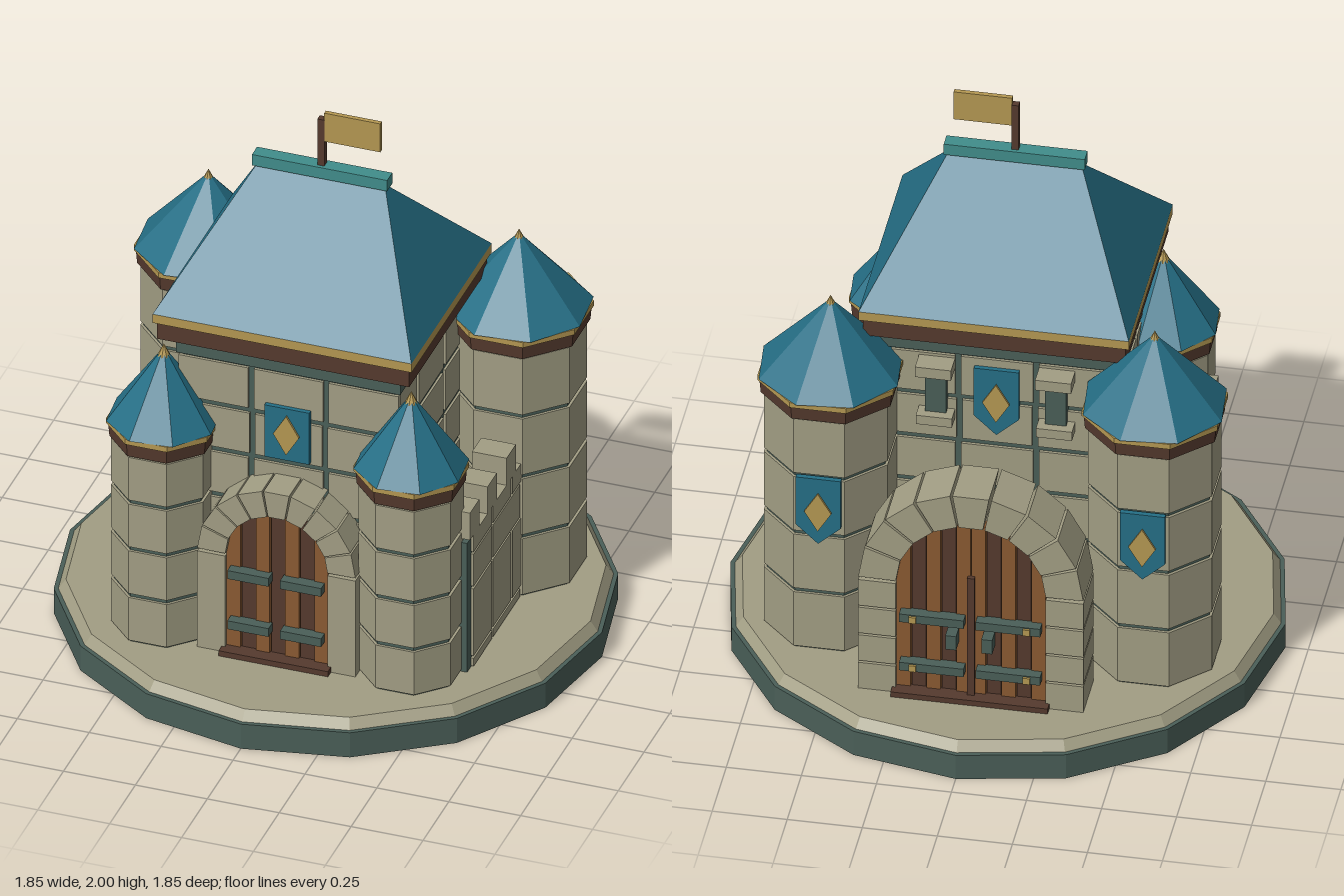
import * as THREE from 'three';

const mat = (name, color) => {
  const m = new THREE.MeshStandardMaterial({ color, flatShading: true });
  m.name = name;
  return m;
};

export function createModel() {
  const stone = mat('stone', 0xa29e84);
  const mortar = mat('mossy mortar', 0x4a5f58);
  const roofBlue = mat('roof blue', 0x256f86);
  const ridgeTeal = mat('ridge teal', 0x418d8b);
  const darkWood = mat('dark wood', 0x553a2e);
  const wood = mat('warm wood', 0x8a5a32);
  const gold = mat('gold', 0xb59852);

  const model = new THREE.Group();
  model.name = 'castle';

  const group = (name, parent = model) => {
    const g = new THREE.Group();
    g.name = name;
    parent.add(g);
    return g;
  };
  const add = (parent, name, geo, material, x = 0, y = 0, z = 0) => {
    const m = new THREE.Mesh(geo, material);
    m.name = name;
    m.position.set(x, y, z);
    parent.add(m);
    return m;
  };
  // box given by its limits on each axis
  const box = (parent, name, material, [x0, x1], [y0, y1], [z0, z1]) =>
    add(parent, name, new THREE.BoxGeometry(x1 - x0, y1 - y0, z1 - z0), material,
      (x0 + x1) / 2, (y0 + y1) / 2, (z0 + z1) / 2);
  // octagonal drum given by half width across flats
  const drum = (parent, name, material, top, bottom, y0, y1, turn = Math.PI / 8) => {
    const k = Math.cos(Math.PI / 8);
    const m = add(parent, name, new THREE.CylinderGeometry(top / k, bottom / k, y1 - y0, 8), material, 0, (y0 + y1) / 2);
    m.rotation.y = turn;
    return m;
  };
  const extrude = (points, depth) => new THREE.ExtrudeGeometry(
    new THREE.Shape(points.map(([x, y]) => new THREE.Vector2(x, y))), { depth, bevelEnabled: false });

  // round base
  const base = group('base');
  const disc = (name, m, rt, rb, y0, y1) => {
    add(base, name, new THREE.CylinderGeometry(rt, rb, y1 - y0, 16), m, 0, (y0 + y1) / 2).rotation.y = Math.PI / 2;
  };
  disc('baseRim', mortar, 0.925, 0.925, 0, 0.095);
  disc('courtyard', stone, 0.885, 0.91, 0.095, 0.13);

  // corner towers
  const tower = (name, x, z, r, y1, roofY, tip, roofR) => {
    const t = group(name);
    t.position.set(x, 0, z);
    drum(t, 'towerCore', mortar, r - 0.009, r - 0.009, 0.13, y1);
    const h = (y1 - 0.13) / 4;
    for (let i = 0; i < 4; i++) drum(t, 'stoneCourse', stone, r, r, 0.138 + i * h, 0.13 + (i + 1) * h - 0.008);
    drum(t, 'eaveBeam', darkWood, roofR - 0.008, roofR - 0.012, y1, roofY - 0.02);
    drum(t, 'eaveTrim', gold, roofR - 0.002, roofR - 0.002, roofY - 0.02, roofY);
    drum(t, 'spire', roofBlue, 0.003, roofR, roofY, tip, Math.PI / 8 + 0.1);
    add(t, 'finial', new THREE.ConeGeometry(0.022, 0.045, 8), gold, 0, tip - 0.005);
  };
  for (const s of [-1, 1]) {
    tower('backTower', s * 0.54, -0.27, 0.206, 1.06, 1.13, 1.4, 0.228);
    tower('frontTower', s * 0.43, 0.47, 0.16, 0.855, 0.925, 1.19, 0.177);
  }

  // keep with staggered block courses on all four sides
  const keep = group('keep');
  keep.position.z = 0.135;
  box(keep, 'keepCore', mortar, [-0.372, 0.372], [0.13, 1.2], [-0.317, 0.317]);
  const course = (i) => {
    const y = [0.13 + i * 0.175 + 0.01, 0.13 + (i + 1) * 0.175 - 0.01];
    const layout = (half) => (i % 2 ? [-half, -0.13, 0.13, half] : [-half, -0.13, 0.13, half].map((v, k) => (k % 3 ? v * 0.97 : v)));
    for (const s of [-1, 1]) {
      const xs = layout(0.382), zs = layout(0.327);
      for (let k = 0; k < 3; k++) {
        box(keep, 'wallBlock', stone, [xs[k] + (k ? 0.01 : 0), xs[k + 1] - (k < 2 ? 0.01 : 0)], y, s > 0 ? [0.3, 0.327] : [-0.327, -0.3]);
        box(keep, 'wallBlock', stone, s > 0 ? [0.35, 0.38] : [-0.38, -0.35], y, [zs[k] + 0.01, zs[k + 1] - 0.01]);
      }
    }
  };
  for (let i = 0; i < 6; i++) course(i);
  box(keep, 'wallBand', mortar, [-0.39, 0.39], [1.18, 1.25], [-0.33, 0.33]);
  box(keep, 'eaveBeam', darkWood, [-0.438, 0.438], [1.25, 1.315], [-0.378, 0.378]);
  box(keep, 'eaveTrim', gold, [-0.45, 0.45], [1.315, 1.35], [-0.388, 0.388]);

  // hipped roof: box whose top is pinched to a ridge
  const hip = new THREE.BoxGeometry(0.9, 0.41, 0.78);
  const p = hip.attributes.position;
  for (let i = 0; i < p.count; i++) {
    if (p.getY(i) > 0) p.setXYZ(i, Math.sign(p.getX(i)) * 0.22, p.getY(i), Math.sign(p.getZ(i)) * 0.004);
  }
  add(keep, 'hippedRoof', hip, roofBlue, 0, 1.555);
  box(keep, 'ridgeCap', ridgeTeal, [-0.235, 0.235], [1.755, 1.797], [-0.025, 0.025]);
  box(keep, 'flagPole', darkWood, [-0.012, 0.012], [1.797, 1.975], [-0.012, 0.012]);
  box(keep, 'flag', gold, [0.01, 0.205], [1.89, 2], [-0.008, 0.008]);

  // hanging banners with a diamond
  const banner = (name, x, y, z, w, h, point, turn) => {
    const b = group(name);
    b.position.set(x, y, z);
    b.rotation.y = turn;
    add(b, 'cloth', extrude([[-w, h], [-w, -h + point], [0, -h], [w, -h + point], [w, h]], 0.018), roofBlue);
    add(b, 'diamond', extrude([[0, 0.075], [-0.045, 0], [0, -0.075], [0.045, 0]], 0.008), gold, 0, 0, 0.018);
  };
  banner('frontBanner', 0, 0.95, 0.46, 0.078, 0.1, 0, 0);
  banner('backBanner', 0, 1.01, -0.19, 0.075, 0.13, 0.07, Math.PI);
  for (const s of [-1, 1]) {
    banner('towerBanner', s * 0.54, 0.7, -0.474, 0.075, 0.13, 0.07, Math.PI);
    // rear slit windows
    const w = group('slitWindow');
    w.position.set(s * 0.2, 0, 0);
    box(w, 'windowSlit', mortar, [-0.035, 0.035], [0.95, 1.13], [-0.22, -0.18]);
    box(w, 'lintel', stone, [-0.06, 0.06], [1.12, 1.16], [-0.265, -0.18]);
    box(w, 'sill', stone, [-0.06, 0.06], [0.92, 0.955], [-0.25, -0.18]);
  }

  // crenellated side walls
  for (const s of [-1, 1]) {
    const wall = group('sideWall');
    const xr = (a, b) => (s > 0 ? [a, b] : [-b, -a]);
    box(wall, 'wallCore', mortar, xr(0.51, 0.61), [0.13, 0.63], [-0.12, 0.43]);
    const rows = [[0.135, 0.165], [0.175, 0.435], [0.445, 0.57], [0.578, 0.645]];
    rows.forEach((y, i) => {
      const zs = i % 2 ? [-0.12, 0.025, 0.21, 0.4] : [-0.12, -0.06, 0.21, 0.4];
      for (let k = 0; k < 3; k++) box(wall, 'wallBlock', stone, xr(0.5, 0.62), y, [zs[k] + 0.005, zs[k + 1] - 0.005]);
    });
    for (const z of [0.03, 0.215, 0.385]) box(wall, 'merlon', stone, xr(0.5, 0.62), [0.645, 0.75], [z - 0.045, z + 0.045]);
  }

  // arched gate facing +z, back plane at z = 0
  const gate = (name, ri, ro, spring, depth, jambRows, planks) => {
    const g = group(name);
    const n = 9;
    for (let i = 0; i < n; i++) {
      const a = (i / n) * Math.PI + 0.012, b = ((i + 1) / n) * Math.PI - 0.012;
      const pts = [[ri, a], [ro, a], [ro, b], [ri, b]].map(([r, t]) => [r * Math.cos(t), r * Math.sin(t)]);
      add(g, 'archStone', extrude(pts, depth), stone, 0, spring, 0);
    }
    const h = (spring - 0.13) / jambRows;
    for (const s of [-1, 1]) for (let i = 0; i < jambRows; i++) {
      box(g, 'jambStone', stone, s > 0 ? [ri, ro] : [-ro, -ri], [0.13 + i * h, 0.13 + (i + 1) * h - 0.008], [0, depth]);
    }
    // planks trimmed to the arch
    const w = (2 * ri) / planks.length;
    planks.forEach((m, i) => {
      const x0 = -ri + i * w, x1 = x0 + w - 0.003;
      const pts = [[x0, 0.13], [x1, 0.13]];
      for (let k = 0; k <= 4; k++) {
        const x = x1 + ((x0 - x1) * k) / 4;
        pts.push([x, spring + Math.sqrt(Math.max(0, ri * ri - x * x))]);
      }
      const d = m === wood ? 0.04 : 0.032;
      add(g, 'doorPlank', extrude(pts, d), m, 0, 0, depth - 0.055);
    });
    box(g, 'threshold', darkWood, [-ri - 0.012, ri + 0.012], [0.13, 0.15], [depth - 0.03, depth + 0.03]);
    for (const s of [-1, 1]) for (const y of [0.25, 0.445]) {
      box(g, 'hingeStrap', mortar, s > 0 ? [0.02, ri - 0.015] : [0.015 - ri, -0.02], [y - 0.016, y + 0.016], [depth - 0.02, depth + 0.02]);
    }
    return g;
  };
  const L = wood, D = darkWood;
  gate('frontGate', 0.178, 0.275, 0.51, 0.13, 1, [L, D, L, D, L, D, L]).position.z = 0.45;

  const rear = gate('backGate', 0.25, 0.375, 0.575, 0.18, 4, [L, D, L, D, L, L, D, L, D, L]);
  rear.position.z = -0.48;
  rear.rotation.y = Math.PI;
  for (const s of [-1, 1]) {
    box(rear, 'doorPull', mortar, [s * 0.06 - 0.018, s * 0.06 + 0.018], [0.35, 0.405], [0.16, 0.215]);
    for (const y of [0.25, 0.445]) box(rear, 'hingeStud', gold, [s * 0.19 - 0.012, s * 0.19 + 0.012], [y - 0.012, y + 0.012], [0.19, 0.208]);
  }
  box(rear, 'doorSeam', darkWood, [-0.012, 0.012], [0.15, 0.62], [0.14, 0.18]);

  return model;
}
